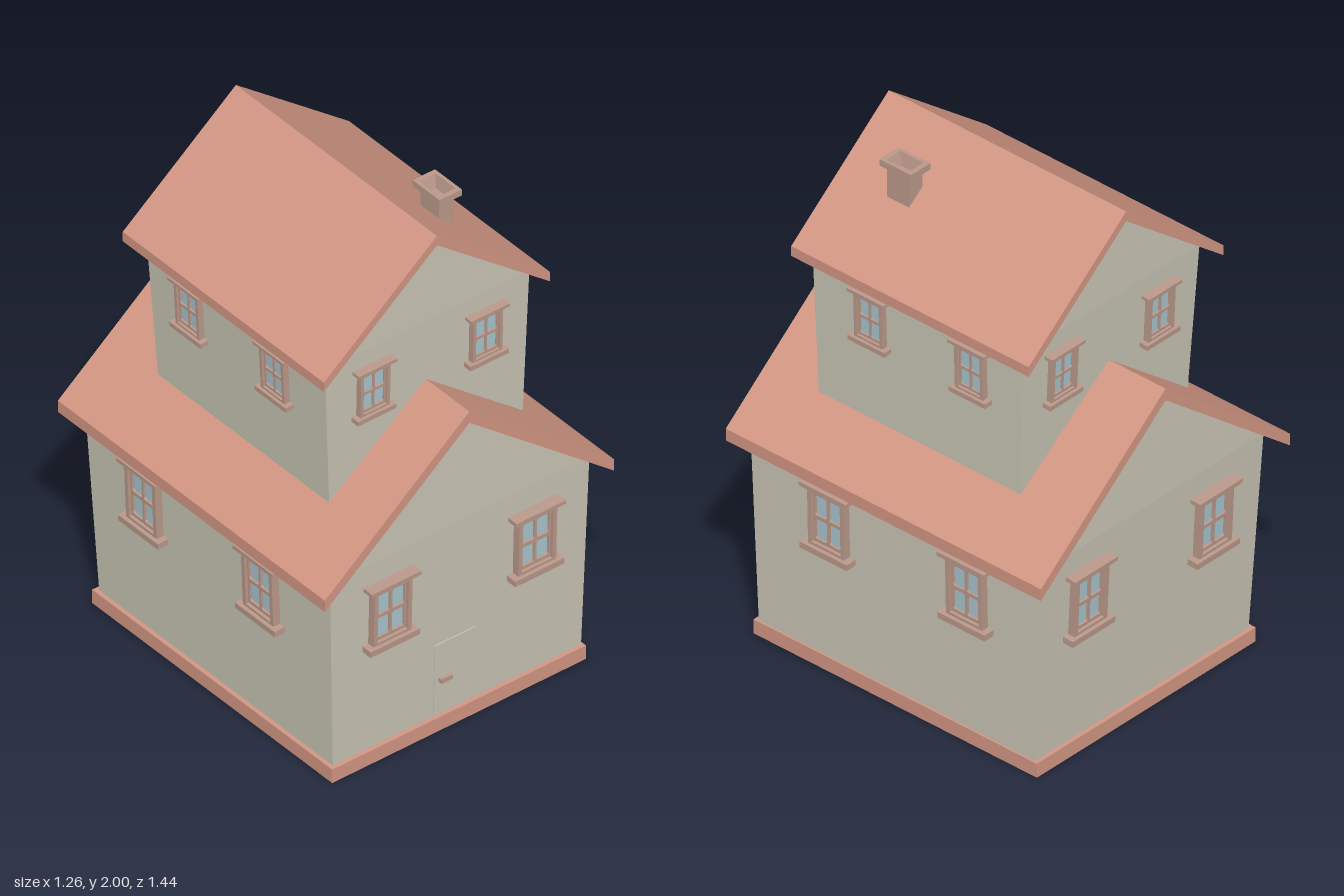
import * as THREE from 'three';

const mat = (name, color) => {
  const m = new THREE.MeshStandardMaterial({ color });
  m.name = name;
  return m;
};

export function createModel() {
  const house = new THREE.Group();
  house.name = 'house';
  const plaster = mat('plaster', 0xc9c5b5);
  const tile = mat('roofTile', 0xd29683);
  const trim = mat('trim', 0xbb998a);
  const glass = mat('glass', 0xa9c6ce);

  const add = (parent, name, geometry, material, x = 0, y = 0, z = 0) => {
    const mesh = new THREE.Mesh(geometry, material);
    mesh.name = name;
    mesh.position.set(x, y, z);
    parent.add(mesh);
    return mesh;
  };
  const box = (parent, name, material, w, h, d, x, y, z) =>
    add(parent, name, new THREE.BoxGeometry(w, h, d), material, x, y, z);
  const flat = (geometry) => {
    const g = geometry.index ? geometry.toNonIndexed() : geometry;
    g.computeVertexNormals();
    return g;
  };

  // Rectangle outline, with optional rounded corners
  const rect = (Type, x, y, w, h, r = 0) => {
    const p = new Type(), l = x - w / 2, b = y - h / 2;
    p.moveTo(l + r, b).lineTo(l + w - r, b);
    if (r) p.quadraticCurveTo(l + w, b, l + w, b + r);
    p.lineTo(l + w, b + h - r);
    if (r) p.quadraticCurveTo(l + w, b + h, l + w - r, b + h);
    p.lineTo(l + r, b + h);
    if (r) p.quadraticCurveTo(l, b + h, l, b + h - r);
    p.lineTo(l, b + r);
    if (r) p.quadraticCurveTo(l, b, l + r, b);
    return p;
  };
  const extrude = (shape, depth) =>
    new THREE.ExtrudeGeometry(shape, { depth, bevelEnabled: false, curveSegments: 3 });

  // Window: frame, sash with four panes, head and sill; z = 0 lies on the wall
  const frameShape = rect(THREE.Shape, 0, 0, 0.165, 0.244);
  frameShape.holes.push(rect(THREE.Path, 0, 0, 0.132, 0.205));
  const sashShape = rect(THREE.Shape, 0, 0, 0.134, 0.207);
  for (const sx of [-1, 1]) for (const sy of [-1, 1])
    sashShape.holes.push(rect(THREE.Path, sx * 0.0315, sy * 0.0485, 0.053, 0.083, 0.009));
  const frameGeo = extrude(frameShape, 0.036);
  const sashGeo = extrude(sashShape, 0.024);
  const makeWindow = () => {
    const w = new THREE.Group();
    w.name = 'window';
    add(w, 'windowFrame', frameGeo, trim, 0, 0, -0.006);
    add(w, 'windowSash', sashGeo, trim, 0, 0, -0.006);
    box(w, 'windowGlass', glass, 0.134, 0.207, 0.006, 0, 0, 0.006);
    box(w, 'windowHead', trim, 0.215, 0.016, 0.05, 0, 0.129, 0.02);
    box(w, 'windowSill', trim, 0.215, 0.024, 0.05, 0, -0.125, 0.02);
    return w;
  };

  // One storey: flared walls with upright gables, a pitched roof and windows
  const storey = (name, s) => {
    const g = new THREE.Group();
    g.name = name;
    house.add(g);
    const { bottom: b, top: t, y0, roof } = s;
    const slope = (roof.ridge - roof.eave) / roof.half;
    const under = roof.ridge - roof.thick;
    const y1 = under - slope * t.x1 + 0.004;

    const ring = (r, y) => [r.x0, y, r.z1, r.x1, y, r.z1, r.x1, y, r.z0, r.x0, y, r.z0];
    const walls = new THREE.BufferGeometry();
    walls.setAttribute('position', new THREE.Float32BufferAttribute(
      [...ring(b, y0), ...ring(t, y1), 0, under + 0.004, t.z1, 0, under + 0.004, t.z0], 3));
    const index = [4, 5, 8, 6, 7, 9];
    for (let i = 0; i < 4; i++) {
      const j = (i + 1) % 4;
      index.push(i, j, j + 4, i, j + 4, i + 4);
    }
    walls.setIndex(index);
    add(g, name + 'Walls', flat(walls), plaster);

    // Roof: chevron section run from back to front
    const chevron = new THREE.Shape();
    chevron.moveTo(0, roof.ridge).lineTo(-roof.half, roof.eave)
      .lineTo(-roof.half, roof.eave - roof.thick).lineTo(0, under)
      .lineTo(roof.half, roof.eave - roof.thick).lineTo(roof.half, roof.eave);
    add(g, name + 'Roof', extrude(chevron, roof.z1 - roof.z0), tile, 0, 0, roof.z0);

    // Places a part on a leaning wall: side 0 front, 1 left, 2 back, 3 right
    const place = (part, side, along, y) => {
      const lo = [b.z1, b.x1, -b.z0, -b.x0][side];
      const hi = [t.z1, t.x1, -t.z0, -t.x0][side];
      const out = THREE.MathUtils.mapLinear(y, y0, y1, lo, hi);
      if (side % 2) part.position.set(side === 1 ? out : -out, y, along);
      else part.position.set(along, y, side === 0 ? out : -out);
      part.rotation.set(Math.atan((hi - lo) / (y1 - y0)), side * Math.PI / 2, 0, 'YXZ');
      g.add(part);
    };
    for (let side = 0; side < 4; side++)
      for (const along of side % 2 ? s.windowZ : s.windowX) {
        const w = makeWindow();
        w.scale.setScalar(s.windowScale);
        place(w, side, along, s.windowY);
      }
    return place;
  };

  // Plinth
  box(house, 'plinth', tile, 1.106, 0.057, 1.295, 0.003, 0.0285, 0.013);

  const placeLower = storey('lowerStorey', {
    bottom: { x0: -0.533, x1: 0.548, z0: -0.617, z1: 0.643 },
    top: { x0: -0.565, x1: 0.565, z0: -0.657, z1: 0.667 },
    y0: 0.05,
    roof: { ridge: 1.355, eave: 0.85, half: 0.63, thick: 0.048, z0: -0.72, z1: 0.72 },
    windowX: [-0.308, 0.322], windowZ: [0.3, -0.33], windowY: 0.63, windowScale: 1,
  });
  storey('upperStorey', {
    bottom: { x0: -0.413, x1: 0.427, z0: -0.443, z1: 0.476 },
    top: { x0: -0.445, x1: 0.445, z0: -0.473, z1: 0.492 },
    y0: 0.97,
    roof: { ridge: 2, eave: 1.61, half: 0.493, thick: 0.04, z0: -0.54, z1: 0.545 },
    windowX: [-0.24, 0.25], windowZ: [0.222, -0.238], windowY: 1.435, windowScale: 0.78,
  });

  // Front door and handle
  const door = new THREE.Group();
  door.name = 'door';
  box(door, 'doorLeaf', plaster, 0.177, 0.302, 0.008, 0, 0, 0);
  box(door, 'doorHandle', trim, 0.05, 0.018, 0.014, -0.046, -0.002, 0.014);
  box(door, 'doorHandleStem', trim, 0.014, 0.014, 0.01, -0.064, -0.002, 0.006);
  placeLower(door, 0, -0.009, 0.213);

  // Chimney: four-sided profile with a capped rim and tapered flue
  const profile = [[0.05, 1.765], [0.05, 1.922], [0.0725, 1.922], [0.0725, 1.948],
    [0.053, 1.948], [0.036, 1.9], [0, 1.9]]
    .map(([r, y]) => new THREE.Vector2(r * Math.SQRT2, y));
  const flue = new THREE.LatheGeometry(profile, 4, Math.PI / 4);
  flue.scale(0.67, 1, 1);
  add(house, 'chimney', flat(flue), trim, 0.223, 0, 0.27);

  return house;
}
